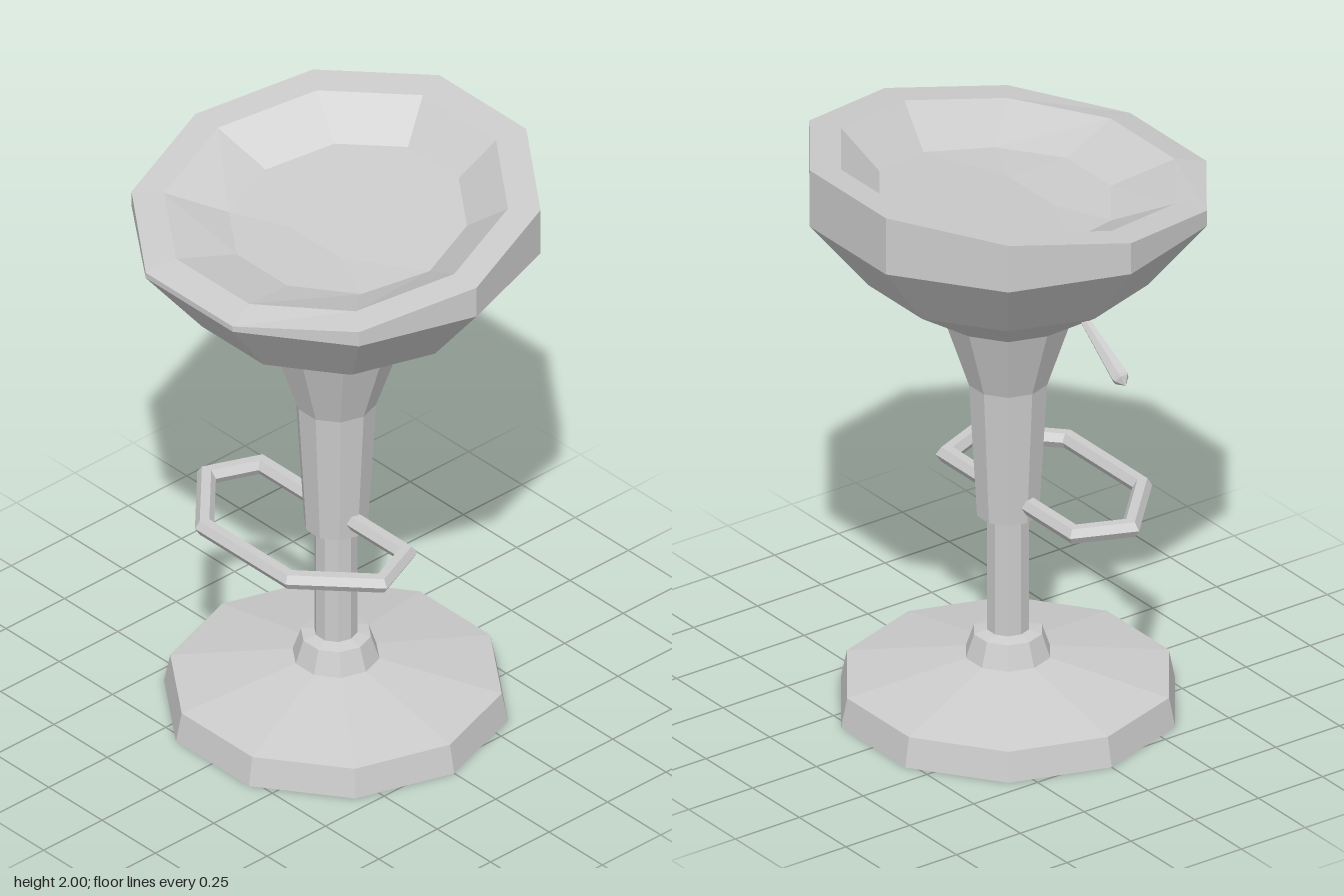
import * as THREE from 'three';

const SIDES = 10;
const material = new THREE.MeshStandardMaterial({ color: 0xcccccc, flatShading: true });

function addMesh(group, name, geometry) {
  const mesh = new THREE.Mesh(geometry, material);
  mesh.name = name;
  group.add(mesh);
  return mesh;
}

// Ten-sided turned part, with a corner on the x axis; points are [radius, y] from the bottom up
function turned(points) {
  const profile = points.map(([r, y]) => new THREE.Vector2(r, y));
  return new THREE.LatheGeometry(profile, SIDES, Math.PI / 2);
}

// Skin a list of equal-length rings; caps are extra triangles by index
function skin(rings, { closed = false, extraPoints = [], extraFaces = [] } = {}) {
  const n = rings[0].length;
  const index = [];
  const count = closed ? rings.length : rings.length - 1;
  for (let i = 0; i < count; i++) {
    const a = i * n, b = ((i + 1) % rings.length) * n;
    for (let k = 0; k < n; k++) {
      const next = (k + 1) % n;
      index.push(a + k, b + k, a + next, b + k, b + next, a + next);
    }
  }
  extraFaces.forEach((face) => index.push(...face));
  const geometry = new THREE.BufferGeometry();
  const points = [...rings.flat(), ...extraPoints].flat();
  geometry.setAttribute('position', new THREE.Float32BufferAttribute(points, 3));
  geometry.setIndex(index);
  geometry.computeVertexNormals();
  return geometry;
}

// Horizontal decagon whose height depends on z
function decagon(radius, zOffset, height) {
  return Array.from({ length: SIDES }, (_, k) => {
    const t = (k / SIDES) * Math.PI * 2;
    const z = radius * Math.sin(t) + zOffset;
    return [radius * Math.cos(t), height(z), z];
  });
}

// Sloping rim and hollowed seat floor
function seatTop() {
  const rim = (z) => 1.91 - 0.1435 * z;
  const floor = (z) => 1.865 - 0.1435 * (Math.min(z, 0.1) + 0.415);
  const rings = [
    decagon(0.66, 0, () => 1.8),
    decagon(0.66, 0, rim),
    decagon(0.555, 0, (z) => rim(z) + (z > 0.4 ? 0.01 : 0)),
    decagon(0.385, -0.05, floor),
  ];
  const f = 3 * SIDES, p = 4 * SIDES, q = p + 1;
  const ridge = [[0.12, floor(0.09), 0.09], [-0.12, floor(0.09), 0.09]];
  const faces = [[p, f + 2, f + 1], [p, f + 1, f], [p, f, f + 9], [p, f + 9, f + 8],
    [p, f + 8, f + 7], [p, f + 7, q], [q, f + 7, f + 6], [q, f + 6, f + 5],
    [q, f + 5, f + 4], [q, f + 4, f + 3], [q, f + 3, f + 2], [q, f + 2, p]];
  return skin(rings, { extraPoints: ridge, extraFaces: faces });
}

// Hexagonal bar mitred around a closed outline in the xz plane
function barLoop(outline, y, radius) {
  const pts = outline.map(([x, z]) => new THREE.Vector2(x, z));
  const n = pts.length;
  const normal = (a, b) => {
    const d = b.clone().sub(a).normalize();
    return new THREE.Vector2(d.y, -d.x);
  };
  const rings = pts.map((pt, i) => {
    const n1 = normal(pts[(i + n - 1) % n], pt);
    const n2 = normal(pt, pts[(i + 1) % n]);
    const miter = n1.clone().add(n2).divideScalar(1 + n1.dot(n2));
    return Array.from({ length: 6 }, (_, k) => {
      const t = (k / 6) * Math.PI * 2;
      const out = Math.cos(t) * radius;
      return [pt.x + miter.x * out, y - Math.sin(t) * radius, pt.y + miter.y * out];
    });
  });
  return skin(rings, { closed: true });
}

export function createModel() {
  const group = new THREE.Group();
  group.name = 'barStool';

  // Base plate with its collar
  addMesh(group, 'base', turned([[0, 0], [0.555, 0], [0.535, 0.1], [0.14, 0.18]]));
  addMesh(group, 'collar', turned([[0.14, 0.18], [0.113, 0.26], [0.07, 0.27]]));

  // Inner pole and flared outer column
  addMesh(group, 'pole', turned([[0.07, 0.25], [0.07, 0.7]]));
  addMesh(group, 'column', turned([[0, 0.68], [0.103, 0.68], [0.13, 1.15], [0.21, 1.39]]));

  // Seat shell and hollow
  addMesh(group, 'seatShell', turned([[0.21, 1.39], [0.465, 1.56], [0.66, 1.8]]));
  addMesh(group, 'seatTop', seatTop());

  // Foot rest, running through the column at the back
  const half = [[0.34, 0.01], [0.41, 0.18], [0.2, 0.38]];
  const mirrored = half.map(([x, z]) => [-x, z]).reverse();
  addMesh(group, 'footRest', barLoop([...half, ...mirrored], 0.737, 0.03));

  // Height lever: thin stem widening to a handle with a blunt point
  const leverProfile = [[0, 0], [0.026, 0.025], [0.03, 0.035], [0.014, 0.3], [0, 0.3]]
    .map(([r, y]) => new THREE.Vector2(r, y));
  const lever = addMesh(group, 'lever', new THREE.LatheGeometry(leverProfile, 6));
  lever.position.set(-0.63, 1.39, 0);
  lever.rotation.z = -Math.atan2(0.23, 0.15);

  return group;
}
